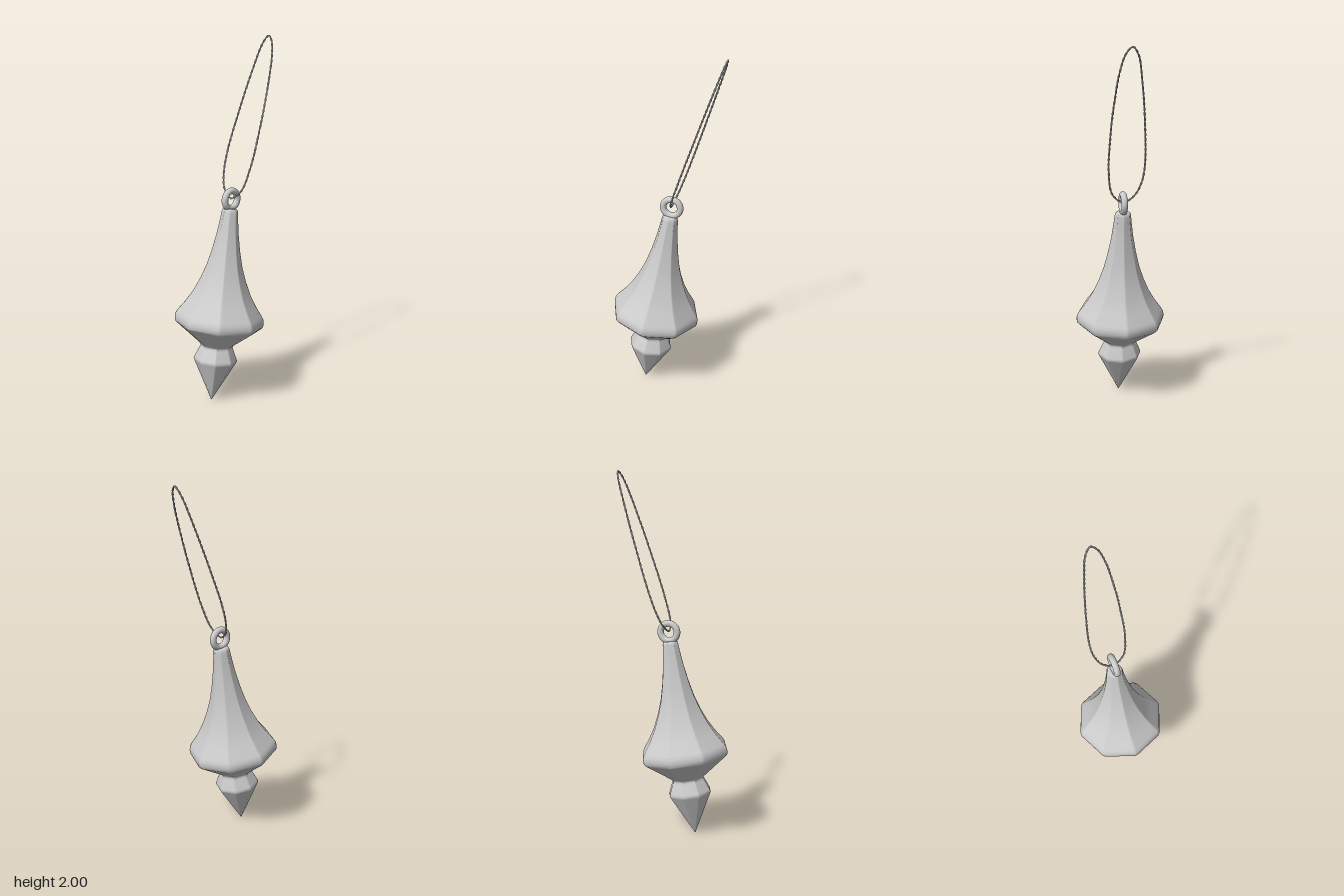
import * as THREE from 'three';

const material = new THREE.MeshStandardMaterial({ color: 0xcccccc });

function addMesh(parent, name, geometry) {
  const mesh = new THREE.Mesh(geometry, material);
  mesh.name = name;
  parent.add(mesh);
  return mesh;
}

// Unit octagon with corners on the axes, each corner slightly bevelled.
function octagonLoop(bevel = 0.05) {
  const corners = Array.from({ length: 8 }, (_, i) =>
    new THREE.Vector2(Math.sin(i * Math.PI / 4), Math.cos(i * Math.PI / 4)));
  return corners.flatMap((c, i) => [
    c.clone().lerp(corners[(i + 7) % 8], bevel),
    c.clone().lerp(corners[(i + 1) % 8], bevel),
  ]);
}

// Skin of octagonal rings; profile rows are [radius, height] from bottom to top.
function facetedBody(profile) {
  const loop = octagonLoop(), n = loop.length;
  const positions = [], index = [];
  for (const [r, y] of profile) for (const p of loop) positions.push(p.x * r, y, p.y * r);
  for (let j = 0; j < profile.length - 1; j++) {
    for (let i = 0; i < n; i++) {
      const a = j * n + i, b = j * n + (i + 1) % n;
      index.push(a, b, b + n, a, b + n, a + n);
    }
  }
  // End caps
  const last = (profile.length - 1) * n;
  for (let i = 1; i < n - 1; i++) {
    index.push(0, i + 1, i, last, last + i, last + i + 1);
  }
  const geometry = new THREE.BufferGeometry();
  geometry.setAttribute('position', new THREE.Float32BufferAttribute(positions, 3));
  geometry.setIndex(index);
  geometry.computeVertexNormals();
  return geometry;
}

// One strand wound around the centre line of the cord.
class Strand extends THREE.Curve {
  constructor(path, normal, offset, turns, phase) {
    super();
    Object.assign(this, { path, normal, offset, turns, phase });
  }
  getPoint(t, target = new THREE.Vector3()) {
    const u = ((t % 1) + 1) % 1;
    const angle = u * this.turns * Math.PI * 2 + this.phase;
    const side = this.path.getTangentAt(u).cross(this.normal).normalize();
    return target.copy(this.path.getPointAt(u))
      .addScaledVector(side, Math.cos(angle) * this.offset)
      .addScaledVector(this.normal, Math.sin(angle) * this.offset);
  }
}

export function createModel() {
  const model = new THREE.Group();
  model.name = 'hangingOrnament';

  // Tilted pendant, pivoting on its lower tip
  const pendant = new THREE.Group();
  pendant.name = 'pendant';
  pendant.position.set(0, 0.004, 0.137);
  pendant.rotation.x = -0.139;
  model.add(pendant);

  // Lower drop, neck, wide belly and flared stem in one faceted skin
  addMesh(pendant, 'facetedDrop', facetedBody([
    [0.002, 0], [0.008, 0.012], [0.118, 0.222], [0.123, 0.234], [0.119, 0.246],
    [0.094, 0.302], [0.09, 0.312], [0.094, 0.322],
    [0.238, 0.431], [0.249, 0.443], [0.251, 0.463], [0.248, 0.482], [0.238, 0.5],
    [0.198, 0.555], [0.162, 0.615], [0.128, 0.69], [0.1, 0.77], [0.078, 0.86],
    [0.061, 0.95], [0.05, 1.03], [0.046, 1.07], [0.042, 1.084], [0.034, 1.09],
  ]));

  // Hanging ring
  const ring = addMesh(pendant, 'hangingRing', new THREE.TorusGeometry(0.048, 0.018, 16, 40));
  ring.rotation.y = Math.PI / 2;
  ring.position.y = 1.14;

  // Leaning cord loop: x and y set by hand, z follows the plane of the loop
  const slope = -0.295 / 0.86;
  const outline = [
    [0, 1.14], [0.06, 1.185], [0.088, 1.315], [0.089, 1.55], [0.08, 1.7], [0.06, 1.87],
    [0.032, 1.965], [0, 1.995], [-0.03, 1.955], [-0.06, 1.81], [-0.09, 1.577],
    [-0.105, 1.36], [-0.094, 1.255], [-0.058, 1.175],
  ];
  const path = new THREE.CatmullRomCurve3(
    outline.map(([x, y]) => new THREE.Vector3(x, y, -0.02 + (y - 1.14) * slope)), true);
  path.arcLengthDivisions = 800;
  const normal = new THREE.Vector3(0, -slope, 1).normalize();

  const cord = new THREE.Group();
  cord.name = 'cord';
  model.add(cord);
  for (let i = 0; i < 2; i++) {
    const strand = new Strand(path, normal, 0.0027, 32, i * Math.PI);
    addMesh(cord, 'cordStrand' + (i + 1), new THREE.TubeGeometry(strand, 480, 0.0031, 7, true));
  }
  return model;
}
